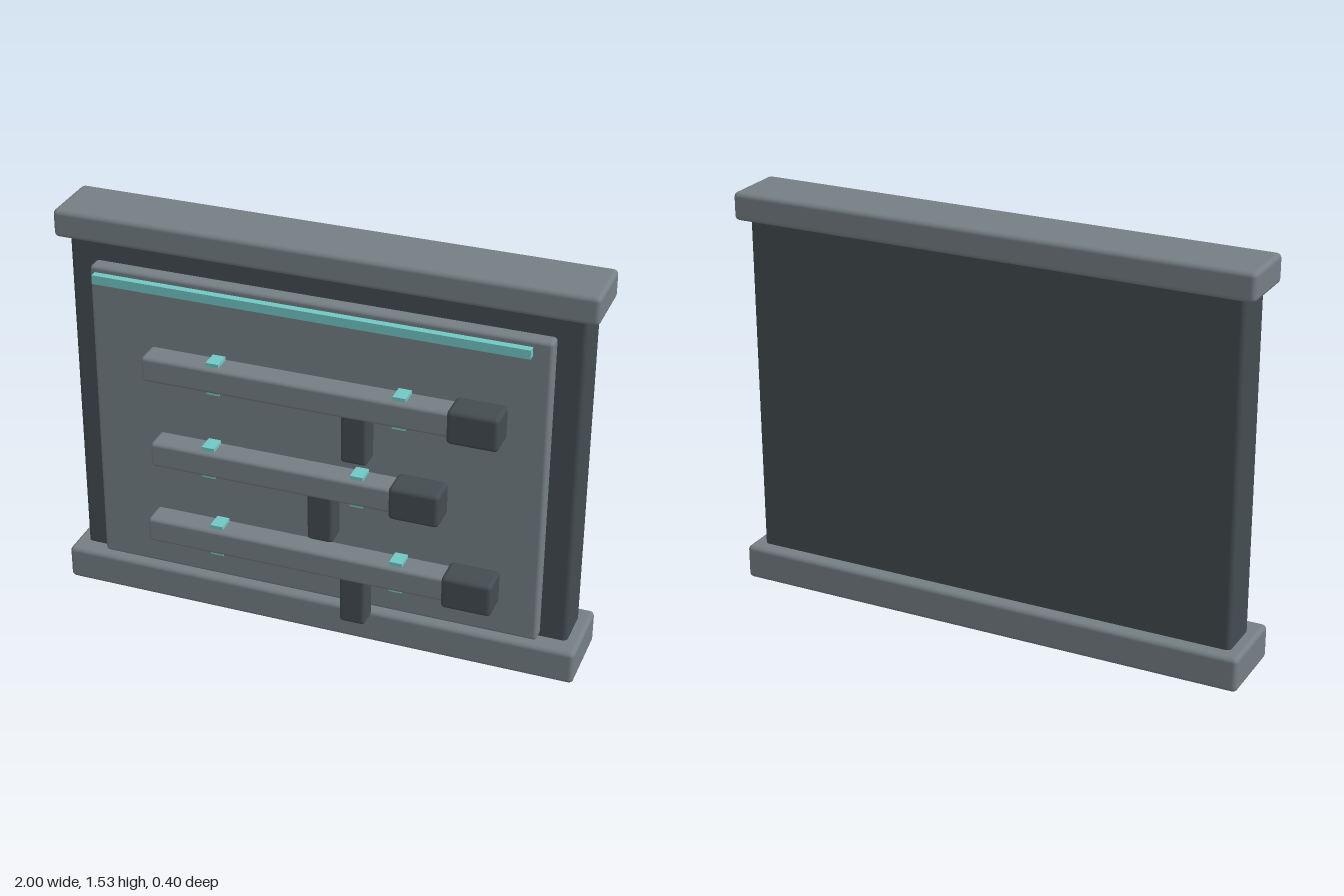
import * as THREE from 'three';
import { RoundedBoxGeometry } from 'three/addons/geometries/RoundedBoxGeometry.js';

export function createModel() {
  const model = new THREE.Group();
  model.name = 'wallRack';

  const makeMaterial = (name, color) => {
    const m = new THREE.MeshStandardMaterial({ color });
    m.name = name;
    return m;
  };
  const grey = makeMaterial('steelGrey', 0x757f84);
  const dark = makeMaterial('darkGrey', 0x434c50);
  const teal = makeMaterial('tealGlow', 0x70c8c4);

  // Box given by its limits on each axis; radius 0 keeps sharp edges
  const box = (parent, name, material, [x0, x1], [y0, y1], [z0, z1], radius = 0) => {
    const size = [x1 - x0, y1 - y0, z1 - z0];
    const geometry = radius
      ? new RoundedBoxGeometry(...size, 2, radius)
      : new THREE.BoxGeometry(...size);
    const mesh = new THREE.Mesh(geometry, material);
    mesh.name = name;
    mesh.position.set((x0 + x1) / 2, (y0 + y1) / 2, (z0 + z1) / 2);
    parent.add(mesh);
  };

  // Frame: base, back board, cap and front panel
  box(model, 'base', grey, [-1, 1], [0, 0.133], [-0.2, 0.102], 0.018);
  box(model, 'backBoard', dark, [-0.953, 0.953], [0.1, 1.46], [-0.147, 0.029], 0.018);
  box(model, 'cap', grey, [-0.998, 0.998], [1.428, 1.534], [-0.183, 0.065], 0.018);
  box(model, 'frontPanel', grey, [-0.853, 0.853], [0.143, 1.35], [0.02, 0.083], 0.014);
  box(model, 'lightStrip', teal, [-0.8, 0.8], [1.327, 1.361], [0.147, 0.174]);

  // Stored tools: long body, heavy end block, grip and two holding clips
  const tools = [
    { y: 1.028, left: -0.618, right: 0.525, grip: 0.185, clips: [-0.35, 0.345] },
    { y: 0.68, left: -0.595, right: 0.322, grip: 0.06, clips: [-0.375, 0.193] },
    { y: 0.353, left: -0.618, right: 0.525, grip: 0.185, clips: [-0.35, 0.345] },
  ];
  for (const { y, left, right, grip, clips } of tools) {
    const tool = new THREE.Group();
    tool.name = 'tool';
    model.add(tool);
    box(tool, 'toolBody', grey, [left, right + 0.02], [y - 0.049, y + 0.049], [0.09, 0.19], 0.014);
    box(tool, 'endBlock', dark, [right, right + 0.186], [y - 0.065, y + 0.065], [0.085, 0.205], 0.016);
    box(tool, 'grip', dark, [grip - 0.049, grip + 0.049], [y - 0.229, y - 0.02], [0.1, 0.186], 0.014);
    for (const x of clips) {
      box(tool, 'clip', teal, [x - 0.024, x + 0.024], [y - 0.063, y + 0.063], [0.103, 0.17]);
    }
  }

  return model;
}
